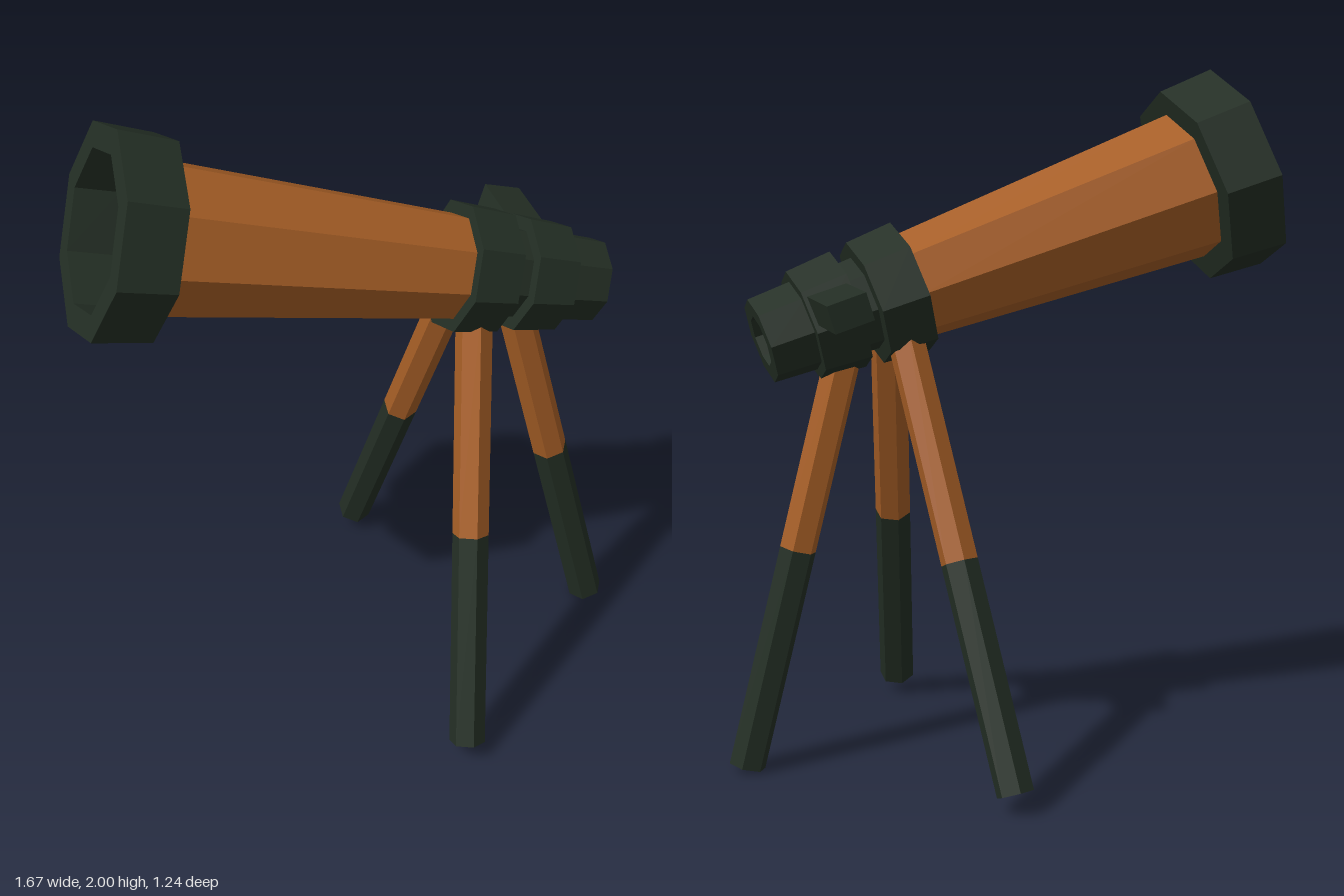
import * as THREE from 'three';

const wood = new THREE.MeshStandardMaterial({ color: 0xa65e26, flatShading: true });
wood.name = 'wood';
const darkGreen = new THREE.MeshStandardMaterial({ color: 0x232e24, flatShading: true });
darkGreen.name = 'darkGreen';

function addMesh(parent, name, geometry, material) {
  const mesh = new THREE.Mesh(geometry, material);
  mesh.name = name;
  parent.add(mesh);
  return mesh;
}

// Octagonal turned part: [radius, distance along the tube axis] pairs
function turned(parent, name, profile, material) {
  const points = profile.map(([r, s]) => new THREE.Vector2(r, s));
  return addMesh(parent, name, new THREE.LatheGeometry(points, 8), material);
}

// Solid octagonal collar with a slight taper
function collar(parent, name, s0, s1, r0, r1, material) {
  return turned(parent, name, [[0, s0], [r0, s0], [r1, s1], [0, s1]], material);
}

// Hexagonal leg with a wooden upper half and a dark lower half;
// "outward" is the direction one of its edges faces
function leg(parent, name, top, foot, jointHeight, outward) {
  const axis = top.clone().sub(foot);
  const length = axis.length();
  const lower = length * (jointHeight - foot.y) / axis.y;
  axis.normalize();
  const side = axis.clone().cross(outward).normalize();
  const radial = side.clone().cross(axis);
  const group = new THREE.Group();
  group.name = name;
  group.position.copy(foot);
  group.quaternion.setFromRotationMatrix(new THREE.Matrix4().makeBasis(side, axis, radial));
  const r = 0.054;
  addMesh(group, 'lowerLeg', new THREE.CylinderGeometry(r, r, lower, 6), darkGreen).position.y = lower / 2;
  addMesh(group, 'upperLeg', new THREE.CylinderGeometry(r, r, length - lower, 6), wood).position.y = (length + lower) / 2;
  parent.add(group);
}

export function createModel() {
  const model = new THREE.Group();
  model.name = 'telescope';

  // Tube assembly: local +y runs from the lens to the eyepiece
  const tube = new THREE.Group();
  tube.name = 'tube';
  tube.position.set(-0.75, 1.71, 0);
  tube.rotation.z = -THREE.MathUtils.degToRad(107.13);
  model.add(tube);

  // Hollow lens hood
  turned(tube, 'lensHood', [[0, 0.13], [0.23, 0.13], [0.23, 0], [0.305, 0], [0.292, 0.172], [0, 0.172]], darkGreen);
  collar(tube, 'barrel', 0.16, 1.09, 0.222, 0.155, wood);
  collar(tube, 'mountCollar', 1.07, 1.21, 0.195, 0.183, darkGreen);
  collar(tube, 'neck', 1.2, 1.27, 0.138, 0.134, darkGreen);
  collar(tube, 'focusCollar', 1.263, 1.4, 0.175, 0.163, darkGreen);
  // Eyepiece with a recessed opening
  turned(tube, 'eyepiece', [[0, 1.39], [0.133, 1.39], [0.125, 1.528], [0.075, 1.528], [0.072, 1.47], [0, 1.47]], darkGreen);

  // Focus knob sticking out at the back
  const knob = addMesh(tube, 'focusKnob', new THREE.BoxGeometry(0.08, 0.115, 0.235), darkGreen);
  knob.position.set(-0.06, 1.331, -0.2175);

  // Tripod
  for (const s of [1, -1]) {
    leg(model, s > 0 ? 'frontLeg' : 'backLeg',
      new THREE.Vector3(0.318, 1.3, 0.07 * s), new THREE.Vector3(0.155, 0.055, 0.57 * s),
      0.66, new THREE.Vector3(0, 0, s));
  }
  leg(model, 'sideLeg', new THREE.Vector3(0.462, 1.25, 0), new THREE.Vector3(0.778, 0.015, 0),
    0.65, new THREE.Vector3(1, 0, 0));

  return model;
}
